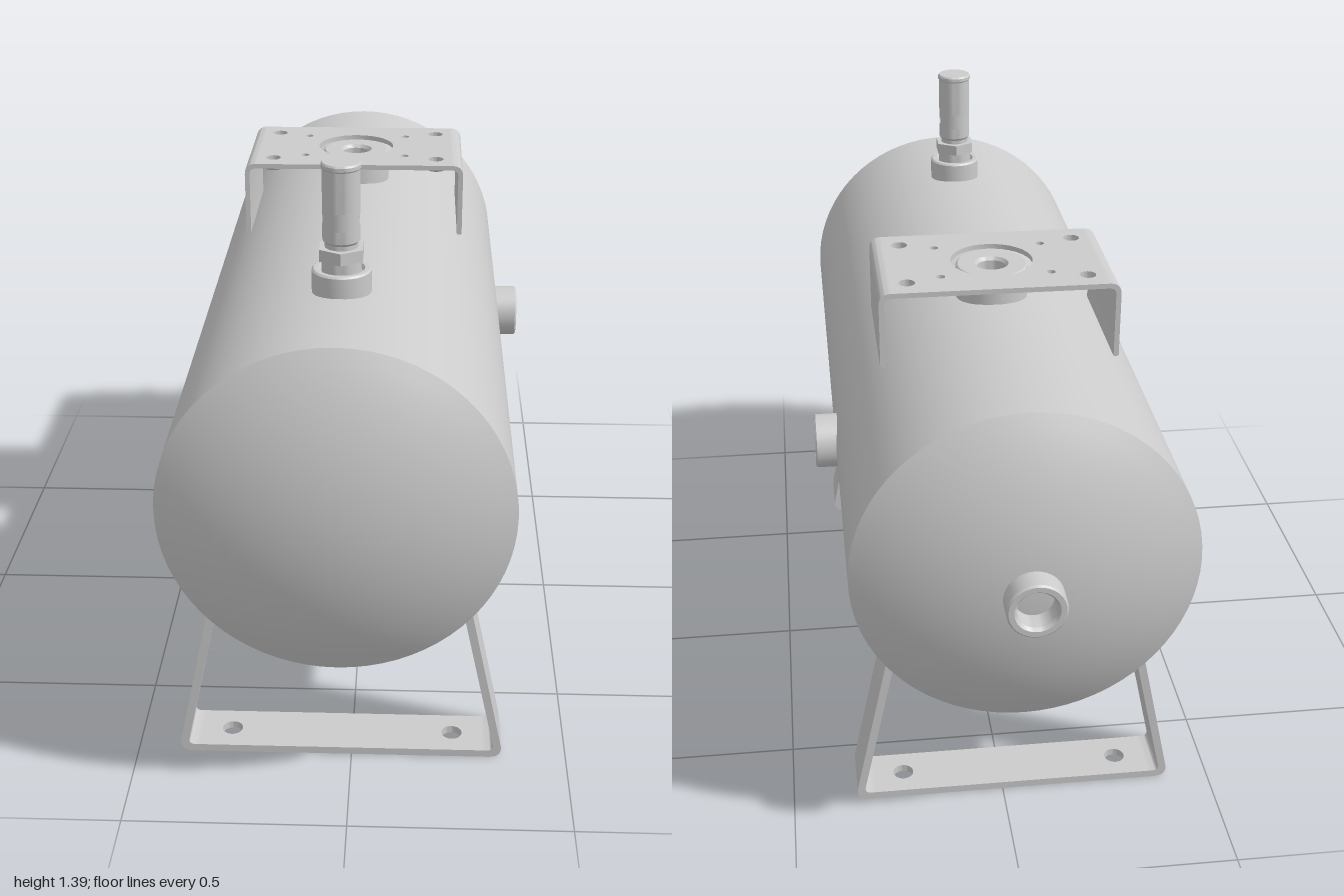
import * as THREE from 'three';
import { toCreasedNormals } from 'three/addons/utils/BufferGeometryUtils.js';

const grey = new THREE.MeshStandardMaterial({ color: 0xcccccc });
const greyDouble = new THREE.MeshStandardMaterial({ color: 0xcccccc, side: THREE.DoubleSide });
const CX = -0.025, CY = 0.725, R = 0.38; // tank axis and radius

export function createModel() {
  const model = new THREE.Group();

  const add = (name, geometry, x = 0, y = 0, z = 0, parent = model, material = grey) => {
    const mesh = new THREE.Mesh(geometry, material);
    mesh.name = name;
    mesh.position.set(x, y, z);
    parent.add(mesh);
    return mesh;
  };
  const group = (name, x = 0, y = 0, z = 0) => {
    const g = new THREE.Group();
    g.name = name;
    g.position.set(x, y, z);
    model.add(g);
    return g;
  };
  // Turned part from [radius, height] pairs, outside going upwards
  const turned = (pairs, sides = 32) => toCreasedNormals(
    new THREE.LatheGeometry(pairs.map(([r, y]) => new THREE.Vector2(r, y)), sides), 0.4);
  // Solid stack of [radius, bottom, top]
  const stack = (r, y0, y1, sides = 32) => turned([[0, y0], [r, y0], [r, y1], [0, y1]], sides);
  // Threaded socket with a blind bore
  const socket = (r, bore, y0, y1, floor) => turned([
    [0, y0], [r, y0], [r, y1 - 0.004], [r - 0.004, y1], [bore + 0.006, y1],
    [bore, y1 - 0.008], [bore, floor], [0, floor]]);

  // Flat plate lying in xz, bottom at y = 0, with round holes [x, z, r]
  const plate = (halfX, halfZ, thick, holes) => {
    const s = new THREE.Shape([[-1, -1], [1, -1], [1, 1], [-1, 1]]
      .map(([a, b]) => new THREE.Vector2(a * halfX, b * halfZ)));
    for (const [x, z, r] of holes) {
      s.holes.push(new THREE.Path().absarc(x, -z, r, 0, Math.PI * 2, true));
    }
    const g = new THREE.ExtrudeGeometry(s, { depth: thick, bevelEnabled: false, curveSegments: 16 });
    return toCreasedNormals(g.rotateX(-Math.PI / 2), 0.5);
  };

  // One folded side of a strap: flat start, rounded corner, then the free end
  const foldedSide = (sign, flatX, outer, inner, endOuter, endInner, rOut, rIn, width) => {
    const V = ([x, y]) => new THREE.Vector2(x * sign, y);
    const toward = (from, to, d) => {
      const a = V(from), b = V(to);
      return a.add(b.sub(a).setLength(d));
    };
    const s = new THREE.Shape();
    const line = (p) => s.lineTo(p.x, p.y);
    const curve = (c, p) => s.quadraticCurveTo(V(c).x, V(c).y, p.x, p.y);
    const flatO = [flatX, outer[1]], flatI = [flatX, inner[1]];
    s.moveTo(flatX * sign, outer[1]);
    line(toward(outer, flatO, rOut));
    curve(outer, toward(outer, endOuter, rOut));
    line(V(endOuter));
    line(V(endInner));
    line(toward(inner, endInner, rIn));
    curve(inner, toward(inner, flatI, rIn));
    line(V(flatI));
    const g = new THREE.ExtrudeGeometry(s, { depth: width, bevelEnabled: false, curveSegments: 8 });
    return toCreasedNormals(g.translate(0, 0, -width / 2), 0.5);
  };

  // Tank: shell with two shallow domed ends
  const dome = (h) => {
    const big = (R * R + h * h) / (2 * h), a = Math.asin(R / big);
    return Array.from({ length: 13 }, (_, i) => {
      const t = (a * i) / 12;
      return [i ? big * Math.sin(t) : 0, h - big * (1 - Math.cos(t))];
    });
  };
  const tank = group('tank', CX, CY, 0);
  tank.rotation.x = Math.PI / 2;
  add('tankShell', turned([
    ...dome(0.105).map(([r, y]) => [r, -0.845 - y]),
    ...dome(0.105).reverse().map(([r, y]) => [r, 0.895 + y])], 72), 0, 0, 0, tank);

  // Side and rear ports
  add('sidePort', socket(0.065, 0.043, 0.34, 0.43, 0.375), CX, CY, -0.23).rotation.z = -Math.PI / 2;
  add('rearPort', socket(0.065, 0.043, 0.92, 1.0, 0.945), CX, CY, 0).rotation.x = -Math.PI / 2;

  // Legs: bent straps with bolt holes in the foot
  for (const z of [0.685, -0.635]) {
    const leg = group('leg', CX, 0, z);
    add('foot', plate(0.33, 0.065, 0.018, [[-0.26, 0, 0.024], [0.26, 0, 0.024]]), 0, 0, 0, leg);
    for (const s of [-1, 1]) {
      add('legSide', foldedSide(s, 0.33, [0.38, 0], [0.358, 0.018], [0.285, 0.455], [0.266, 0.452],
        0.035, 0.017, 0.13), 0, 0, 0, leg);
    }
  }

  // Top mounting bracket
  const bracket = group('bracket', CX, 0, -0.233);
  const bolts = [], holes = [[0, 0, 0.096]];
  for (const sx of [-1, 1]) {
    for (const sz of [-1, 1]) {
      bolts.push([sx * 0.207, sz * 0.112]);
      holes.push([sx * 0.207, sz * 0.112, 0.019], [sx * 0.127, sz * 0.086, 0.01]);
    }
    add('bracketSide', foldedSide(sx, 0.245, [0.275, 1.182], [0.263, 1.17], [0.275, 1.0], [0.263, 1.0],
      0.028, 0.016, 0.338), 0, 0, 0, bracket);
  }
  add('bracketPlate', plate(0.245, 0.169, 0.012, holes), 0, 1.17, 0, bracket);
  for (const [x, z] of bolts) {
    add('weldNut', turned([[0.019, 1.156], [0.024, 1.156], [0.033, 1.165], [0.033, 1.17],
      [0.019, 1.17], [0.019, 1.156]], 24), x, 0, z, bracket);
  }
  add('topBoss', socket(0.084, 0.034, 1.08, 1.174, 1.12), 0, 0, 0, bracket);

  // Relief valve on top, with a cross-drilled sleeve
  const relief = group('reliefValve', CX, 0, 0.575);
  const r = 0.041, y0 = 1.245, y1 = 1.285, holeR = 0.013;
  add('reliefSocket', socket(0.065, 0.045, 1.08, 1.153, 1.145), 0, 0, 0, relief);
  add('reliefNeck', stack(0.043, 1.14, 1.182), 0, 0, 0, relief);
  add('reliefHex', stack(0.054, 1.175, 1.202, 6), 0, 0, 0, relief);
  add('sleeveBottom', turned([[0.036, 1.2], [0.036, 1.212], [r, 1.218], [r, y0]]), 0, 0, 0, relief);
  add('sleeveTop', turned([[r, y1], [r, 1.375], [0.043, 1.378], [0.043, 1.386], [0.04, 1.39], [0, 1.39]]),
    0, 0, 0, relief);
  const wall = [new THREE.Vector2(r, y0), new THREE.Vector2(r, y1)];
  const half = Math.PI / 8;
  for (const phi of [Math.PI / 2, Math.PI * 1.5]) {
    add('sleeveWall', new THREE.LatheGeometry(wall, 12, phi + half, Math.PI - 2 * half), 0, 0, 0, relief);
    // Drilled patch wrapped round the sleeve
    const rect = [];
    for (let i = -2; i <= 2; i++) rect.push(new THREE.Vector2((i / 2) * half * r, y0));
    for (let i = 2; i >= -2; i--) rect.push(new THREE.Vector2((i / 2) * half * r, y1));
    const shape = new THREE.Shape(rect);
    shape.holes.push(new THREE.Path().absarc(0, (y0 + y1) / 2, holeR, 0, Math.PI * 2, true));
    const patch = new THREE.ShapeGeometry(shape, 12);
    const p = patch.attributes.position, n = patch.attributes.normal;
    for (let i = 0; i < p.count; i++) {
      const t = phi + p.getX(i) / r;
      p.setXYZ(i, r * Math.sin(t), p.getY(i), r * Math.cos(t));
      n.setXYZ(i, Math.sin(t), 0, Math.cos(t));
    }
    add('drilledWall', patch, 0, 0, 0, relief);
  }
  add('crossHole', new THREE.CylinderGeometry(holeR, holeR, 2 * r - 0.003, 24, 1, true),
    0, (y0 + y1) / 2, 0, relief, greyDouble).rotation.z = Math.PI / 2;

  // Drain valve underneath
  const drain = group('drainValve', CX, 0, 0.025);
  add('drainSocket', stack(0.064, 0.3, 0.36), 0, 0, 0, drain);
  add('drainBody', stack(0.027, 0.2, 0.305), 0, 0, 0, drain);
  add('drainHex', stack(0.046, 0.18, 0.208, 6), 0, 0, 0, drain);
  add('drainCollar', stack(0.036, 0.162, 0.182), 0, 0, 0, drain);
  add('drainStem', stack(0.02, 0.13, 0.165), 0, 0, 0, drain);
  add('drainKnob', turned([[0, 0.1], [0.055, 0.1], [0.062, 0.105], [0.064, 0.112], [0.064, 0.13],
    [0.06, 0.137], [0.03, 0.139], [0.028, 0.148], [0, 0.148]], 40), 0, 0, 0, drain);
  add('drainOutlet', socket(0.031, 0.02, 0, 0.088, 0.03), 0, 0.247, 0, drain).rotation.x = Math.PI / 2;

  return model;
}
